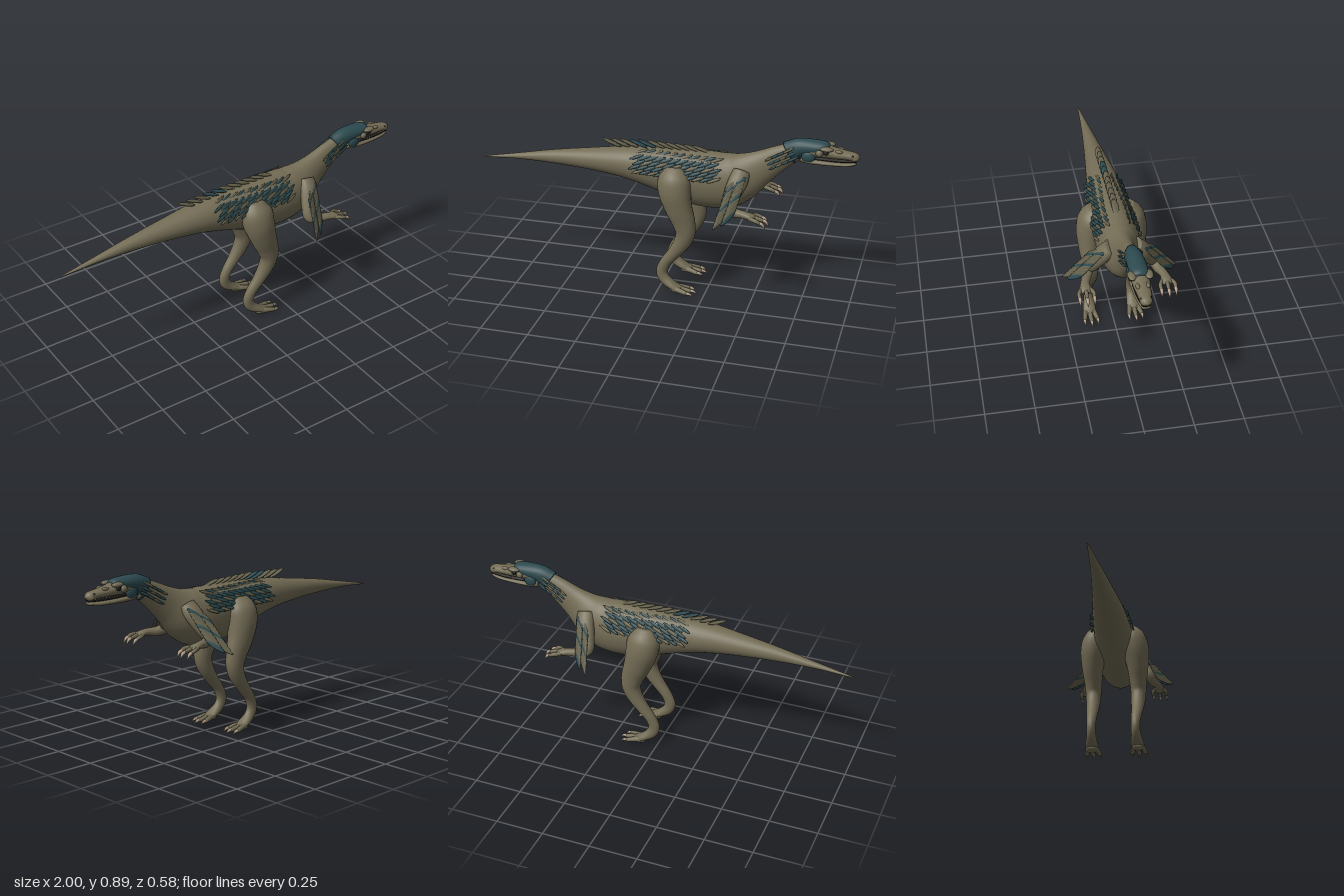
import * as THREE from 'three';

const V = (x, y, z) => new THREE.Vector3(x, y, z);
const mat = (name, color, side = THREE.FrontSide) => {
  const m = new THREE.MeshStandardMaterial({ color, side });
  m.name = name;
  return m;
};

// Smooth skin through sections [x, y, z, radius in the vertical plane, sideways radius]
function loft(sections, rings = 40, sides = 20) {
  const path = new THREE.CatmullRomCurve3(sections.map(s => V(s[0], s[1], s[2])), false, 'catmullrom', 0.5);
  const size = new THREE.CatmullRomCurve3(sections.map(s => V(s[3], s[4], 0)), false, 'catmullrom', 0.5);
  const pos = [], idx = [];
  for (let i = 0; i <= rings; i++) {
    const t = i / rings, c = path.getPoint(t), r = size.getPoint(t), T = path.getTangent(t);
    const S = V(0, 0, 1).addScaledVector(T, -T.z).normalize();
    const N = S.clone().cross(T);
    for (let j = 0; j < sides; j++) {
      const a = j / sides * Math.PI * 2;
      const p = c.clone().addScaledVector(N, Math.max(r.x, 0.001) * Math.cos(a))
        .addScaledVector(S, Math.max(r.y, 0.001) * Math.sin(a));
      pos.push(p.x, p.y, p.z);
      if (i < rings) {
        const k = i * sides, n = (j + 1) % sides;
        idx.push(k + j, k + n, k + sides + j, k + n, k + sides + n, k + sides + j);
      }
    }
  }
  // end caps
  const first = path.getPoint(0), last = path.getPoint(1), c0 = pos.length / 3, end = rings * sides;
  pos.push(first.x, first.y, first.z, last.x, last.y, last.z);
  for (let j = 0; j < sides; j++) {
    const n = (j + 1) % sides;
    idx.push(c0, n, j, c0 + 1, end + j, end + n);
  }
  const g = new THREE.BufferGeometry();
  g.setAttribute('position', new THREE.Float32BufferAttribute(pos, 3));
  g.setIndex(idx);
  g.computeVertexNormals();
  return g;
}

const leafGeo = new THREE.SphereGeometry(1, 12, 8);

export function createModel() {
  const root = new THREE.Group();
  root.name = 'featheredDinosaur';
  const skin = mat('olive skin', 0x736c55);
  const teal = mat('dark teal', 0x2c4a4f);
  const plume = mat('olive plume', 0x625e49);
  const claw = mat('horn', 0xb5a08a);
  const dark = mat('mouth black', 0x1b1a18);
  const snout = mat('snout tan', 0x8a7a62);

  const add = (name, geo, m, parent = root) => {
    const mesh = new THREE.Mesh(geo, m);
    mesh.name = name;
    parent.add(mesh);
    return mesh;
  };
  const group = name => {
    const g = new THREE.Group();
    g.name = name;
    root.add(g);
    return g;
  };
  const ball = (name, m, x, y, z, a, b, c, parent) => {
    const mesh = add(name, leafGeo, m, parent);
    mesh.position.set(x, y, z);
    mesh.scale.set(a, b, c);
    return mesh;
  };
  // Flat leaf from a to b, its face turned towards the hint
  const feather = (name, a, b, width, hint, m, parent, thick = 0.004) => {
    const X = b.clone().sub(a), half = X.length() / 2;
    X.normalize();
    const Z = hint.clone().addScaledVector(X, -hint.dot(X)).normalize();
    const mesh = add(name, leafGeo, m, parent);
    mesh.quaternion.setFromRotationMatrix(new THREE.Matrix4().makeBasis(X, Z.clone().cross(X), Z));
    mesh.position.copy(a).add(b).multiplyScalar(0.5);
    mesh.scale.set(half, width / 2, thick);
  };

  // Tail, trunk and neck in one skin
  add('body', loft([
    [-1, .605, 0, .003, .003], [-.8, .63, 0, .016, .018], [-.6, .648, 0, .037, .036],
    [-.4, .658, 0, .058, .058], [-.2, .66, 0, .085, .082], [0, .642, 0, .12, .1],
    [.15, .62, 0, .147, .11], [.3, .615, 0, .15, .108], [.4, .645, 0, .132, .092],
    [.5, .705, 0, .092, .056], [.6, .77, 0, .066, .04], [.68, .815, 0, .05, .036],
  ], 80, 32), skin);

  // Head
  const head = group('head');
  add('hood', loft([
    [.65, .806, 0, .062, .04], [.7, .838, 0, .047, .043], [.77, .848, 0, .038, .045],
    [.83, .85, 0, .03, .043], [.85, .848, 0, .015, .03],
  ], 24, 24), teal, head);
  add('skull', loft([
    [.74, .825, 0, .03, .04], [.82, .832, 0, .034, .045], [.88, .825, 0, .027, .04],
    [.94, .82, 0, .022, .032], [.98, .815, 0, .02, .027], [1, .81, 0, .008, .012],
  ], 30, 24), skin, head);
  add('mouthLining', loft([[.78, .797, 0, .012, .036], [.9, .795, 0, .012, .034], [.985, .795, 0, .008, .021]], 12, 16), dark, head);
  add('lowerJaw', loft([
    [.71, .785, 0, .02, .03], [.76, .779, 0, .019, .042], [.86, .775, 0, .014, .039],
    [.94, .775, 0, .012, .03], [.985, .781, 0, .008, .02],
  ], 24, 20), skin, head);
  ball('noseTip', snout, .976, .812, 0, .024, .02, .029, head);
  for (const s of [1, -1]) {
    ball('brow', skin, .84, .856, .04 * s, .035, .012, .02, head);
    ball('eye', dark, .838, .838, .045 * s, .014, .012, .009, head);
    ball('cheekBump', skin, .805, .832, .045 * s, .018, .018, .013, head);
    ball('snoutBump', skin, .9, .842, .024 * s, .02, .009, .01, head);
    ball('nostril', dark, .968, .826, .022 * s, .008, .005, .006, head);
    ball('cheek', teal, .75, .805, .034 * s, .035, .03, .014, head);
    // teeth along the mouth line
    for (let i = 0; i < 9; i++) {
      const t = add('tooth', new THREE.ConeGeometry(.003, .012, 5), claw, head);
      t.position.set(.84 + i * .015, .797, (.037 - i * .0018) * s);
      t.rotation.x = Math.PI;
    }
    // neck feathers
    for (let r = 0; r < 3; r++) for (let i = 0; i < 4; i++) {
      const x = .57 + i * .03 + r * .012, y = .785 + i * .017 - r * .022;
      feather('neckFeather', V(x + .02, y + .012, .039 * s), V(x - .035, y - .02, .051 * s),
        .014, V(0, 0, s), (i + r) % 3 ? teal : plume, head);
    }
  }

  // Ridge of leaves along the back
  const ridge = group('backFeathers');
  for (let i = 0; i < 11; i++) {
    const x = .25 - i * .048, y = .765 - Math.max(0, -x) * .07;
    feather('backFeather', V(x, y - .008, 0), V(x - .1, y + .022 + i * .001, 0), .036,
      V(.2, 1, 0), i === 6 || i === 7 ? teal : plume, ridge, .006);
  }

  for (const s of [1, -1]) {
    const side = s > 0 ? 'near' : 'far';

    // Flank feathers
    const flank = group(side + 'FlankFeathers');
    for (let r = 0; r < 5; r++) for (let i = 0; i < 11; i++) {
      const x = -.1 + i * .04 - (r % 2) * .018, y = .66 + r * .022;
      const k = THREE.MathUtils.clamp((x + .2) / .35, 0, 1);
      const cy = .66 - .045 * k, ry = .088 + .06 * k, rz = .083 + .026 * k;
      const z = rz * Math.sqrt(Math.max(.1, 1 - ((y - cy) / ry) ** 2));
      feather('flankFeather', V(x + .025, y + .008, z * s), V(x - .045, y - .016, (z + .018) * s), .017,
        V(0, .4, s), (i * 2 + r) % 4 ? teal : plume, flank);
    }

    // Leg
    const leg = group(side + 'Leg');
    add('legSkin', loft([
      [.08, .69, .075 * s, .05, .04], [.08, .635, .095 * s, .085, .07], [.087, .57, .112 * s, .085, .071],
      [.108, .49, .12 * s, .073, .058], [.135, .415, .12 * s, .062, .047], [.147, .35, .12 * s, .052, .041],
      [.128, .29, .119 * s, .044, .037], [.085, .225, .118 * s, .034, .031], [.04, .165, .116 * s, .029, .026],
      [.02, .11, .115 * s, .031, .023], [.037, .065, .116 * s, .029, .025], [.085, .032, .119 * s, .02, .034],
      [.125, .018, .12 * s, .012, .03],
    ], 60, 20), skin, leg);
    ball('footPad', skin, .092, .016, .119 * s, .032, .015, .032, leg);
    for (const d of [-1, 0, 1]) {
      const z = .12 * s + d * .017, e = .12 * s + d * .035, reach = d ? 0 : .015;
      add('toe', loft([[.085, .025, z, .015, .014], [.125, .02, (z + e) / 2, .014, .013], [.163 + reach, .013, e, .011, .011]], 12, 12), skin, leg);
      add('toeClaw', loft([[.155 + reach, .015, e, .009, .009], [.175 + reach, .013, e, .008, .007], [.194 + reach, .004, e, .002, .002]], 10, 10), claw, leg);
    }

    // Arm
    const arm = group(side + 'Arm');
    add('armSkin', loft([
      [.42, .7, .06 * s, .045, .035], [.41, .655, .098 * s, .05, .037], [.385, .59, .135 * s, .042, .034],
      [.37, .54, .163 * s, .03, .028], [.41, .525, .18 * s, .025, .025], [.465, .527, .198 * s, .018, .022],
      [.505, .52, .202 * s, .016, .03], [.525, .512, .202 * s, .01, .024],
    ], 40, 18), skin, arm);
    for (const d of [-1, 0, 1]) {
      const z = (.202 + d * .018) * s, e = (.202 + d * .036) * s, reach = d ? 0 : .012;
      add('finger', loft([[.495, .52, z, .011, .01], [.53, .518, e, .011, .01], [.555 + reach, .508, e, .009, .009]], 12, 10), skin, arm);
      add('fingerClaw', loft([[.55 + reach, .51, e, .009, .009], [.568 + reach, .503, e, .008, .008], [.582 + reach, .482, e, .002, .002]], 10, 10), claw, arm);
    }
    // Arm feathers in two overlapping fans
    for (let r = 0; r < 2; r++) for (let i = 0; i < 9; i++) {
      const t = i / 8;
      const a = V(.43 - .03 * t + r * .025, .69 - .14 * t, (.1 + .095 * t) * s);
      const b = V(.36 - .035 * t + r * .04, .625 - .155 * t + r * .015, (.172 + .12 * t - r * .02) * s);
      feather('armFeather', a, b, .026, V(.6, .5, .6 * s), (i + r) % 4 === 1 ? teal : plume, arm);
    }
  }
  return root;
}
